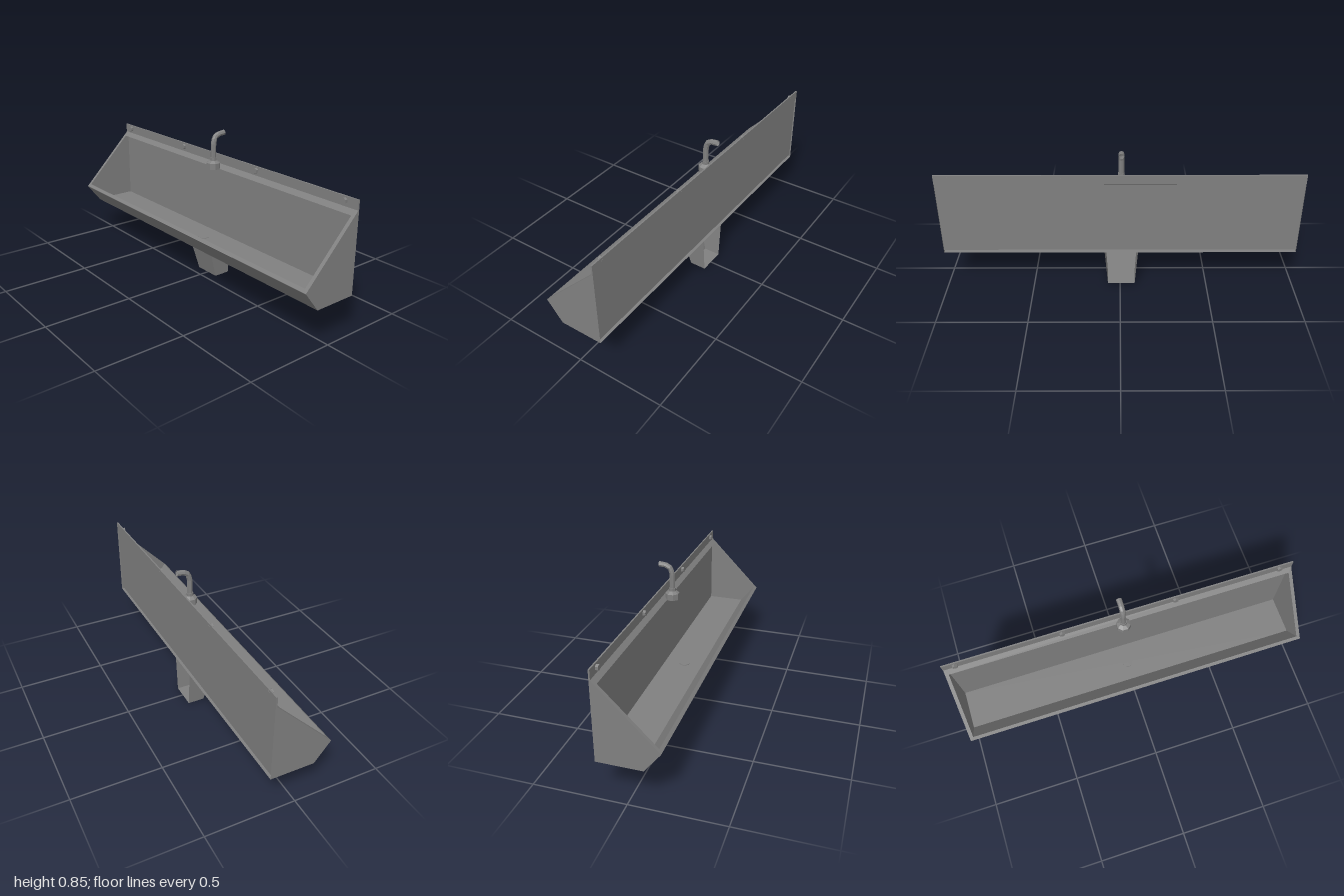
import * as THREE from 'three';

export function createModel() {
  const model = new THREE.Group();
  const steel = new THREE.MeshStandardMaterial({ color: 0x808080 });
  steel.name = 'brushed steel';
  steel.side = THREE.DoubleSide;
  steel.flatShading = true;

  const add = (name, geometry, x = 0, y = 0, z = 0) => {
    const mesh = new THREE.Mesh(geometry, steel);
    mesh.name = name;
    mesh.position.set(x, y, z);
    model.add(mesh);
    return mesh;
  };

  // Sheet metal from four-cornered panels
  const sheet = (name, quads) => {
    const pos = [];
    for (const [a, b, c, d] of quads) pos.push(...a, ...b, ...c, ...a, ...c, ...d);
    const g = new THREE.BufferGeometry();
    g.setAttribute('position', new THREE.Float32BufferAttribute(pos, 3));
    g.computeVertexNormals();
    return add(name, g);
  };

  // Folded strip running along x through (z, y) points
  const fold = (name, half, pts) => sheet(name, pts.slice(1).map(([z, y], i) => {
    const [z0, y0] = pts[i];
    return [[-half, y0, z0], [half, y0, z0], [half, y, z], [-half, y, z]];
  }));

  // End panel in the zy plane
  const endPanel = (name, x, pts) => {
    const g = new THREE.ShapeGeometry(new THREE.Shape(pts.map(([z, y]) => new THREE.Vector2(-z, y))));
    g.rotateY(Math.PI / 2);
    return add(name, g, x);
  };

  const lip = [0.177, 0.33], crest = [-0.153, 0.665];
  const slant = t => lip.map((v, i) => v + (crest[i] - v) * t);
  const low = slant(0.045), high = slant(0.91);

  // Outer shell: bottom and sloping front
  fold('outerShell', 1, [[-0.153, 0.218], [0.09, 0.218], lip]);

  // Inner basin: back wall, floor and front wall
  fold('backWall', 1, [[-0.145, 0.655], [-0.145, 0.232]]);
  fold('basinFloor', 0.98, [[-0.145, 0.232], [0.075, 0.232], low]);

  for (const s of [-1, 1]) {
    endPanel('outerEnd', s, [[-0.153, 0.218], [0.09, 0.218], lip, crest]);
    endPanel('innerEnd', s * 0.98, [[-0.145, 0.232], [0.075, 0.232], low, high, [-0.145, 0.655]]);
  }

  // Slanted rim around the opening
  const at = (x, [z, y]) => [x, y, z];
  const rim = [[[0, 0]], [[0, 0]]];
  rim[0] = [at(-1, lip), at(1, lip), at(1, crest), at(-1, crest)];
  rim[1] = [at(-0.98, low), at(0.98, low), at(0.98, high), at(-0.98, high)];
  sheet('rim', [0, 1, 2, 3].map(i => {
    const j = (i + 1) % 4;
    return [rim[0][i], rim[0][j], rim[1][j], rim[1][i]];
  }));

  // Splash plate with its fixing bolts
  add('splashPlate', new THREE.BoxGeometry(2, 0.052, 0.008), 0, 0.686, -0.149);
  for (const x of [-0.93, -0.34, 0.305, 0.92]) {
    const bolt = new THREE.CylinderGeometry(0.016, 0.016, 0.023, 6).rotateX(Math.PI / 2);
    add('bolt', bolt, x, 0.689, -0.142);
  }

  // Drain disc
  add('drain', new THREE.CylinderGeometry(0.03, 0.03, 0.004, 12), -0.007, 0.233, -0.03);

  // Tapered pipe cover, open at the back
  const cx = -0.007;
  const ring = (w, y, front) => [
    [cx - w, y, -0.153], [cx - w, y, front], [cx + w, y, front], [cx + w, y, -0.153]];
  const top = ring(0.095, 0.218, 0.003), foot = ring(0.078, 0, -0.058);
  sheet('pipeCover', [
    ...[0, 1, 2].map(i => [top[i], foot[i], foot[i + 1], top[i + 1]]),
    [foot[0], foot[3], foot[2], foot[1]],
  ]);

  // Supply fitting: eight-sided base with a shoulder and collar
  const profile = [[0, 0.637], [0.04, 0.637], [0.04, 0.672], [0.019, 0.685], [0.019, 0.702], [0, 0.702]];
  const fitting = new THREE.LatheGeometry(profile.map(p => new THREE.Vector2(...p)), 8, Math.PI / 8);
  add('supplyFitting', fitting, cx, 0, -0.1);

  // Supply pipe bending toward the wall
  const v = (y, z) => new THREE.Vector3(cx, y, z);
  const path = new THREE.CurvePath();
  const stops = [v(0.7, -0.1), v(0.785, -0.1), v(0.818, -0.11), v(0.832, -0.135), v(0.836, -0.175)];
  stops.slice(1).forEach((p, i) => path.add(new THREE.LineCurve3(stops[i], p)));
  add('supplyPipe', new THREE.TubeGeometry(path, 14, 0.0155, 8, false));

  return model;
}
